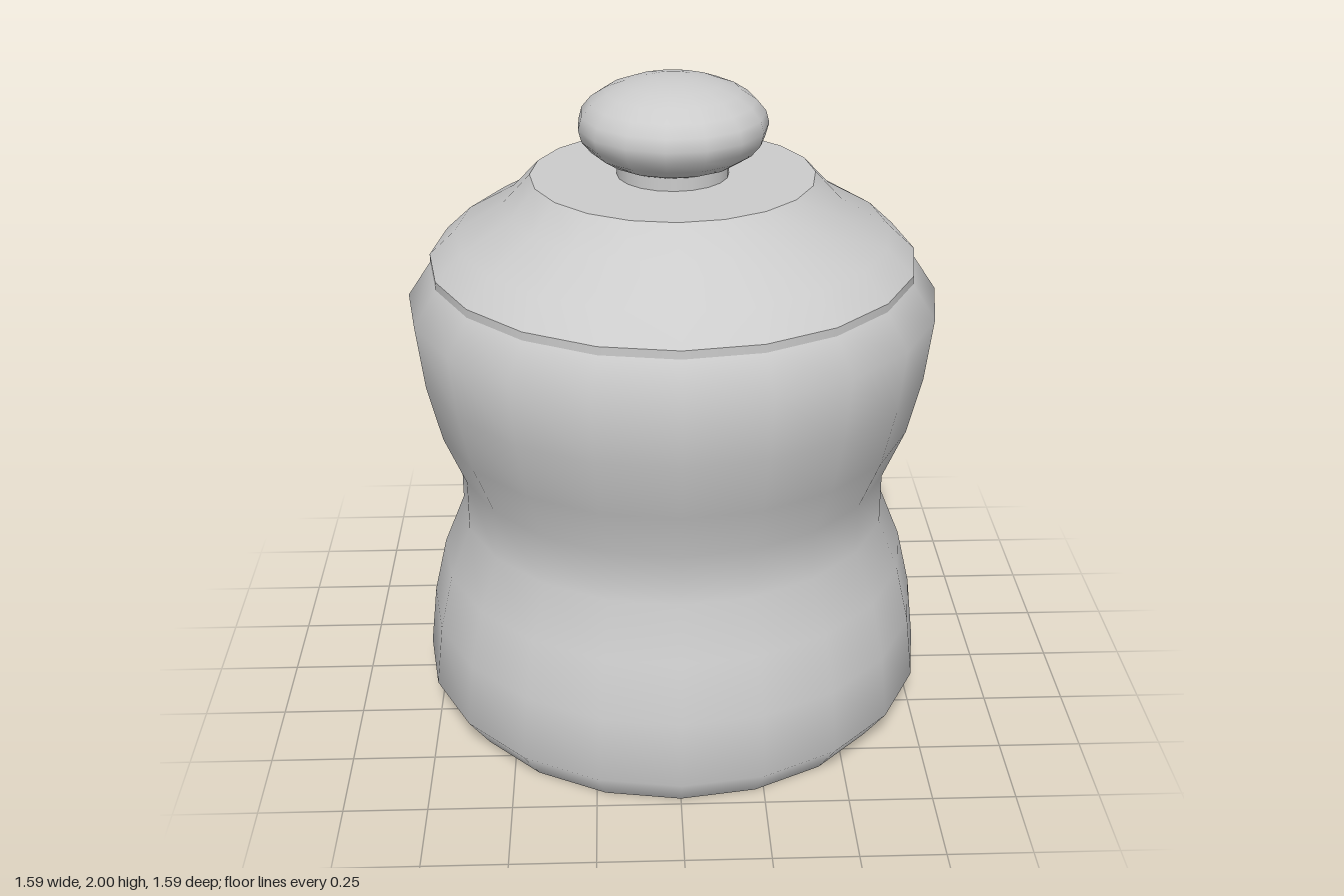
import * as THREE from 'three';

const SIDES = 20;

export function createModel() {
  const group = new THREE.Group();
  const material = new THREE.MeshStandardMaterial({ color: 0xcccccc });

  const add = (name, geometry, parent = group) => {
    const mesh = new THREE.Mesh(geometry, material);
    mesh.name = name;
    parent.add(mesh);
    return mesh;
  };
  // Profiles run bottom to top as [radius, height]
  const lathe = (points, sides = SIDES) =>
    new THREE.LatheGeometry(points.map(([r, y]) => new THREE.Vector2(r, y)), sides);

  // Waisted jar body, smooth up to the lid seam
  const body = new THREE.Group();
  body.name = 'body';
  group.add(body);
  add('bodyWall', lathe([
    [0.725, 0], [0.795, 0.1], [0.772, 0.3], [0.73, 0.48], [0.665, 0.64],
    [0.665, 0.8], [0.73, 0.96], [0.772, 1.14], [0.795, 1.335], [0.725, 1.44],
  ]), body);
  add('bodyBase', lathe([[0, 0], [0.725, 0]]), body);

  // Lid: short rim, domed shoulder and flat top
  const lid = new THREE.Group();
  lid.name = 'lid';
  group.add(lid);
  add('lidRim', lathe([[0.725, 1.44], [0.725, 1.465]]), lid);
  add('lidShoulder', lathe([[0.725, 1.465], [0.645, 1.54], [0.5, 1.625], [0.42, 1.71]]), lid);
  add('lidTop', lathe([[0.42, 1.71], [0, 1.71]]), lid);

  // Knob on a short neck
  const neck = add('knobNeck', new THREE.CylinderGeometry(0.165, 0.165, 0.06, SIDES));
  neck.position.y = 1.735;
  const knob = add('knob', new THREE.SphereGeometry(0.28, 15, 12).rotateY(Math.PI).scale(1, 0.5, 1));
  knob.position.y = 1.86;

  return group;
}
